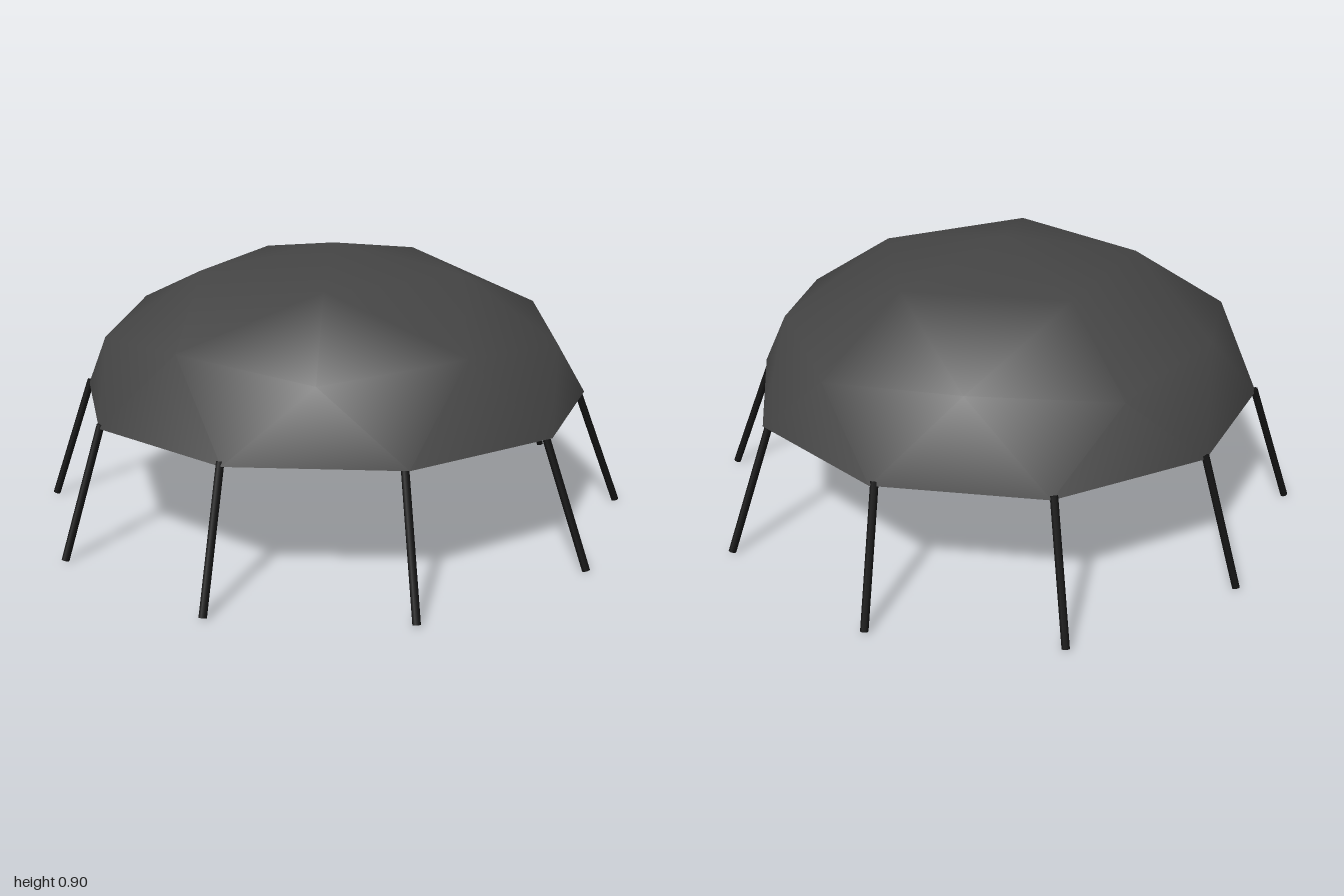
import * as THREE from 'three';
import { mergeVertices } from 'three/addons/utils/BufferGeometryUtils.js';

const RADIUS = 0.85, RISE = 0.5, BASE = 0.405, WALL = 0.03;

// Upper half of a two-frequency geodesic sphere, flattened to the given rise
function geodesicHalf(radius, rise, inward) {
  const sphere = new THREE.IcosahedronGeometry(1, 1);
  sphere.rotateX(-Math.atan((1 + Math.sqrt(5)) / 2)); // a five-way node at the crown
  sphere.rotateY(Math.PI / 2);
  const p = sphere.attributes.position;
  const kept = [];
  for (let i = 0; i < p.count; i += 3) {
    const tri = [i, i + 1, i + 2];
    if (tri.some((k) => p.getY(k) < -0.01)) continue;
    if (inward) tri.reverse();
    for (const k of tri) {
      kept.push(p.getX(k) * radius, Math.max(0, p.getY(k)) * rise, p.getZ(k) * radius);
    }
  }
  const soup = new THREE.BufferGeometry();
  soup.setAttribute('position', new THREE.Float32BufferAttribute(kept, 3));
  const geometry = mergeVertices(soup, 1e-4);
  geometry.computeVertexNormals();
  return geometry;
}

// Straight bar between two points
function bar(from, to, radius, material) {
  const dir = to.clone().sub(from);
  const mesh = new THREE.Mesh(new THREE.CylinderGeometry(radius, radius, dir.length(), 8), material);
  mesh.position.copy(from).addScaledVector(dir, 0.5);
  mesh.quaternion.setFromUnitVectors(new THREE.Vector3(0, 1, 0), dir.normalize());
  return mesh;
}

export function createModel() {
  const model = new THREE.Group();
  const shellMaterial = new THREE.MeshStandardMaterial({ color: 0x444444 });
  const legMaterial = new THREE.MeshStandardMaterial({ color: 0x111111 });

  // Dome: outer skin, inner skin and the flat rim joining them
  const dome = new THREE.Group();
  dome.name = 'dome';
  dome.position.y = BASE;
  const rim = new THREE.RingGeometry(RADIUS - WALL, RADIUS, 10, 1, Math.PI / 2);
  rim.rotateX(Math.PI / 2);
  const skins = {
    outerShell: geodesicHalf(RADIUS, RISE, false),
    innerShell: geodesicHalf(RADIUS - WALL, RISE - WALL, true),
    rim,
  };
  for (const [name, geometry] of Object.entries(skins)) {
    const mesh = new THREE.Mesh(geometry, shellMaterial);
    mesh.name = name;
    dome.add(mesh);
  }
  model.add(dome);

  // Legs: one splayed bar under each rim corner, feet slightly uneven (x, z)
  const feet = [
    [0, 0.985], [0.565, 0.805], [0.935, 0.285], [0.925, 0.335], [0.555, 0.825],
    [-0.05, 0.985], [-0.6, 0.795], [-0.94, 0.288], [-0.925, 0.33], [-0.57, 0.805],
  ];
  const legs = new THREE.Group();
  legs.name = 'legs';
  feet.forEach(([x, z], i) => {
    const back = i >= 3 && i <= 7;
    const a = (i * Math.PI) / 5;
    const r = RADIUS - WALL / 2;
    const top = new THREE.Vector3(Math.sin(a) * r - 0.01, BASE + 0.01, Math.cos(a) * r);
    const foot = new THREE.Vector3(x, 0.006, back ? -z : z);
    const leg = bar(foot, top, 0.0125, legMaterial);
    leg.name = 'leg';
    legs.add(leg);
  });
  model.add(legs);

  return model;
}
